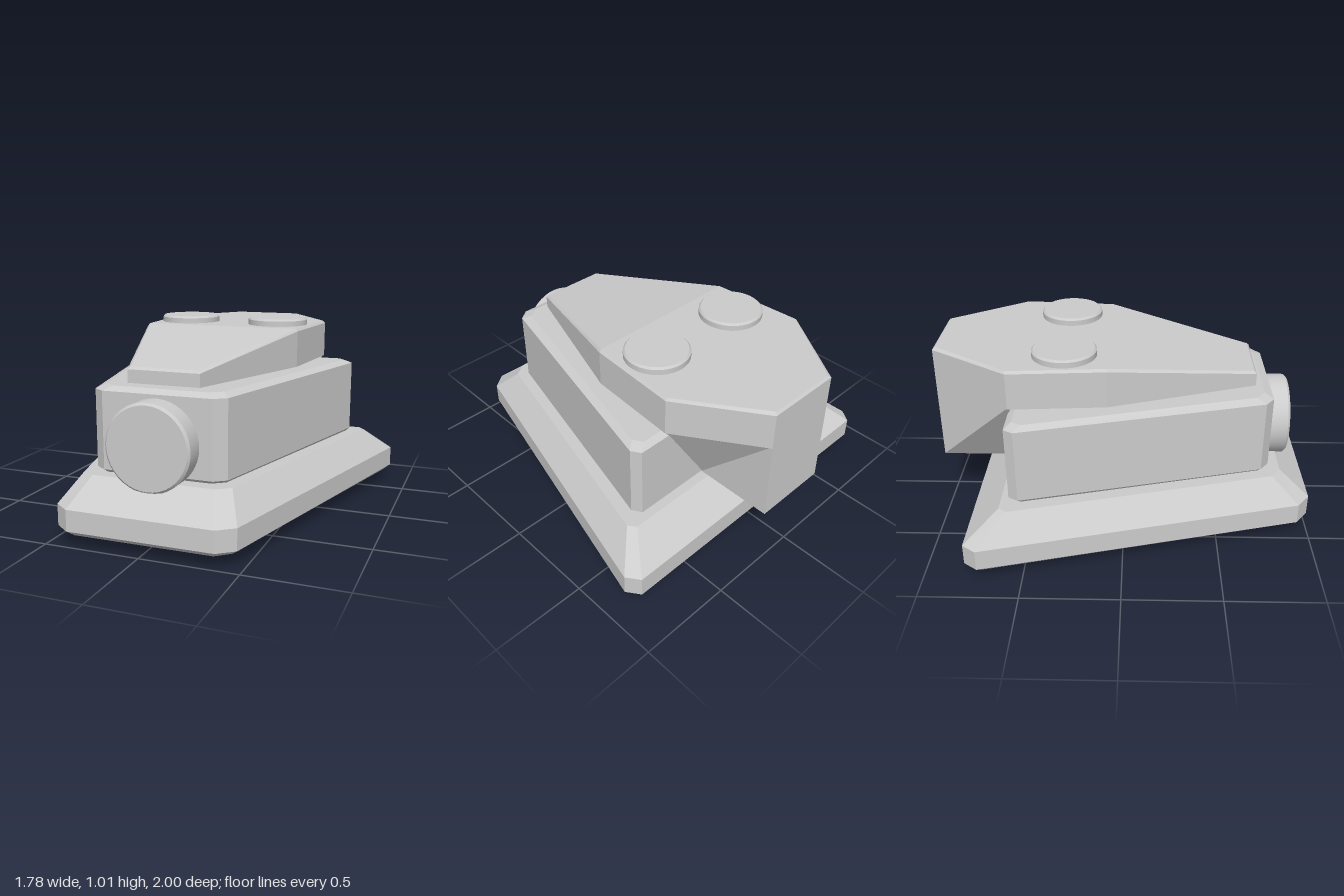
import * as THREE from 'three';
import { toCreasedNormals } from 'three/addons/utils/BufferGeometryUtils.js';

const solid = () => new THREE.MeshStandardMaterial({ color: 0xcccccc });

// Symmetric faceted solid: each ring lists its +x half, back to front, as [x, y, z].
function loft(name, halves) {
  const rings = halves.map(h => [...h, ...h.map(([x, y, z]) => [-x, y, z]).reverse()]);
  const n = rings[0].length;
  const pos = [];
  const tri = (...pts) => pts.forEach(p => pos.push(...p));
  for (let r = 0; r < rings.length - 1; r++) {
    const lo = rings[r], hi = rings[r + 1];
    for (let i = 0; i < n; i++) {
      const j = (i + 1) % n;
      tri(lo[i], hi[i], lo[j]);
      tri(lo[j], hi[i], hi[j]);
    }
  }
  // caps, as strips between mirrored points
  const bottom = rings[0], top = rings[rings.length - 1];
  for (let i = 0; i < n / 2 - 1; i++) {
    const l = n - 1 - i;
    tri(top[i], top[l], top[i + 1]);
    tri(top[i + 1], top[l], top[l - 1]);
    tri(bottom[i], bottom[i + 1], bottom[l]);
    tri(bottom[i + 1], bottom[l - 1], bottom[l]);
  }
  const geo = new THREE.BufferGeometry();
  geo.setAttribute('position', new THREE.Float32BufferAttribute(pos, 3));
  geo.computeVertexNormals();
  const material = solid();
  material.flatShading = true;
  const mesh = new THREE.Mesh(geo, material);
  mesh.name = name;
  return mesh;
}

// Trapezoid outline with cut corners: half-width and depth at back and front, corner cuts [x, z].
const outline = (y, xb, zb, xf, zf, cb, cf) => [
  [xb - cb[0], y, zb], [xb, y, zb + cb[1]], [xf, y, zf - cf[1]], [xf - cf[0], y, zf],
];

// Disc standing on y = 0 with chamfered rims.
function disc(name, radius, height, bevel) {
  const profile = [
    [0, 0], [radius - bevel, 0], [radius, bevel],
    [radius, height - bevel], [radius - bevel, height], [0, height],
  ].map(p => new THREE.Vector2(...p));
  const mesh = new THREE.Mesh(toCreasedNormals(new THREE.LatheGeometry(profile, 40), 0.5), solid());
  mesh.name = name;
  return mesh;
}

export function createModel() {
  const model = new THREE.Group();
  model.name = 'model';

  // Round foot under the base
  const foot = disc('foot', 0.3, 0.07, 0.012);
  foot.position.z = 0.105;
  model.add(foot);

  // Base with sloping upper rim
  model.add(loft('base', [
    outline(0.05, 0.85, -0.75, 0.43, 0.96, [0.05, 0.06], [0.07, 0.06]),
    outline(0.08, 0.89, -0.79, 0.465, 1, [0.05, 0.07], [0.085, 0.065]),
    outline(0.19, 0.89, -0.79, 0.465, 1, [0.05, 0.07], [0.085, 0.065]),
    outline(0.325, 0.74, -0.62, 0.39, 0.84, [0.03, 0.04], [0.07, 0.05]),
  ]));

  // Body
  const back = [0.03, 0.05], front = [0.06, 0.045];
  model.add(loft('body', [
    outline(0.32, 0.645, -0.56, 0.33, 0.76, back, front),
    outline(0.34, 0.665, -0.58, 0.347, 0.78, back, front),
    outline(0.735, 0.665, -0.58, 0.347, 0.78, back, front),
    outline(0.755, 0.62, -0.545, 0.31, 0.735, back, front),
  ]));

  // Sloping top plate with a fine bevel
  const plate = (ys, d) => [
    [0.205 - d, ys[0], -1 + d], [0.485 - d, ys[0], -0.58],
    [0.45 - d, ys[0], -0.08], [0.19 - d, ys[1], 0.695 - d],
  ];
  model.add(loft('topPlate', [
    plate([0.765, 0.765], 0),
    plate([0.96, 0.832], 0),
    plate([0.973, 0.845], 0.012),
  ]));

  // Rear block hanging below the plate, tapering inward
  model.add(loft('rearBlock', [
    [[0.205, 0.33, -1], [0.205, 0.33, -0.575]],
    [[0.205, 0.775, -1], [0.485, 0.775, -0.575]],
  ]));

  // Pair of round buttons through the plate
  for (const side of [1, -1]) {
    const button = disc(side > 0 ? 'leftButton' : 'rightButton', 0.168, 0.26, 0.01);
    button.position.set(side * 0.27, 0.752, -0.305);
    model.add(button);
  }

  // Round knob on the front
  const knob = disc('frontKnob', 0.22, 0.14, 0.012);
  knob.rotation.x = Math.PI / 2;
  knob.position.set(0, 0.497, 0.755);
  model.add(knob);

  return model;
}
